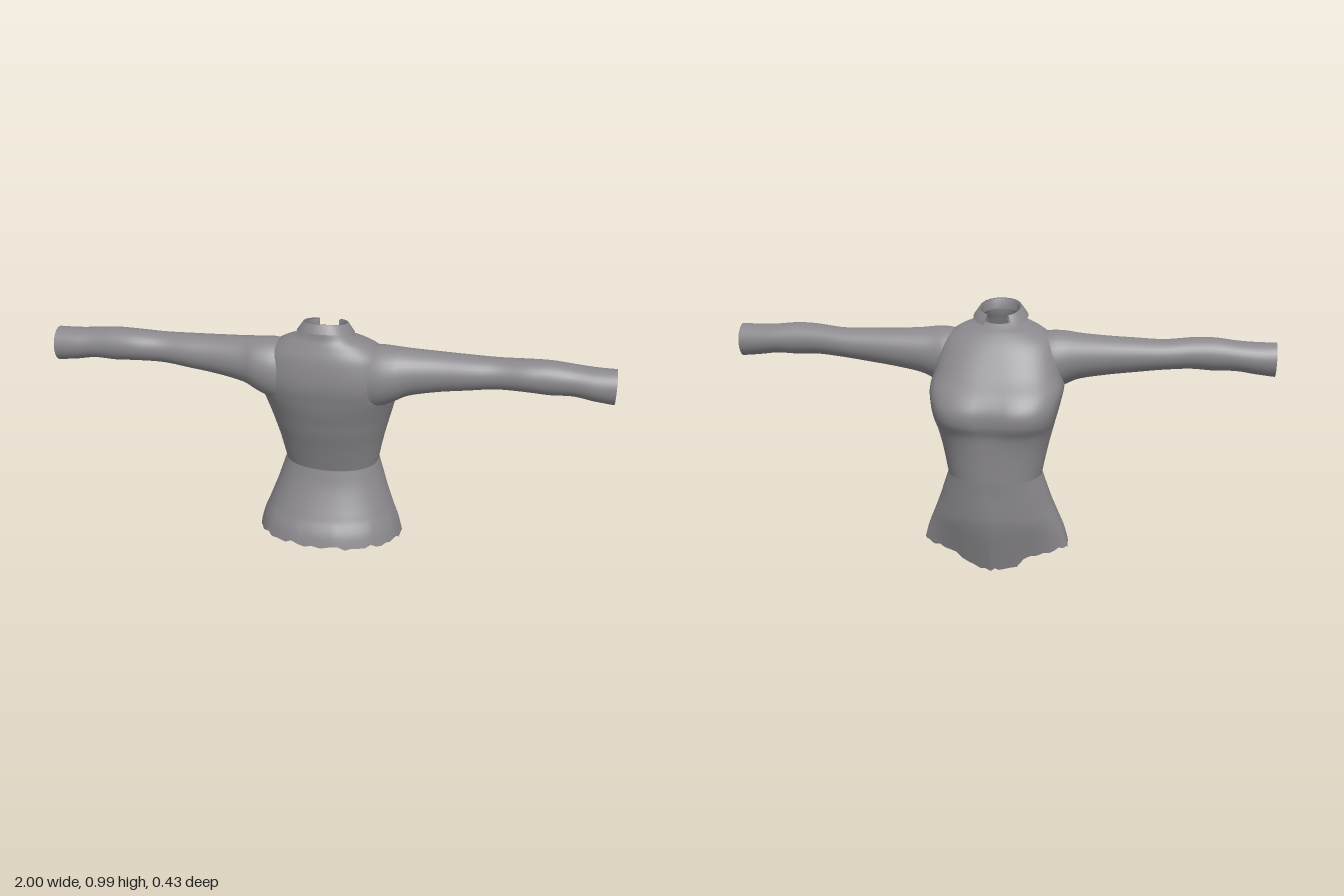
import * as THREE from 'three';

const cloth = new THREE.MeshStandardMaterial({ color: 0x8a888c, side: THREE.DoubleSide });
cloth.name = 'grey cloth';

// Smoothly resample a table of section rows.
function resample(rows, count) {
  const out = [];
  for (let i = 0; i <= count; i++) {
    const f = (i / count) * (rows.length - 1);
    const k = Math.min(Math.floor(f), rows.length - 2), t = f - k;
    const a = rows[Math.max(k - 1, 0)], b = rows[k], c = rows[k + 1], d = rows[Math.min(k + 2, rows.length - 1)];
    out.push(b.map((v, j) => v + 0.5 * t * (c[j] - a[j]
      + t * (2 * a[j] - 5 * v + 4 * c[j] - d[j] + t * (3 * (v - c[j]) + d[j] - a[j])))));
  }
  return out;
}

// Skin a list of rings; skip(x, y, z) leaves an opening.
function loft(name, rings, closed = true, skip = () => false) {
  const n = rings[0].length, pos = rings.flat(), index = [];
  for (let r = 0; r < rings.length - 1; r++) {
    for (let i = 0; i < (closed ? n : n - 1); i++) {
      const j = (i + 1) % n;
      const a = r * n + i, b = r * n + j, c = a + n, d = b + n;
      const mid = [0, 1, 2].map(k => (pos[a][k] + pos[b][k] + pos[c][k] + pos[d][k]) / 4);
      if (!skip(...mid)) index.push(a, c, b, b, c, d);
    }
  }
  const g = new THREE.BufferGeometry();
  g.setAttribute('position', new THREE.Float32BufferAttribute(pos.flat(), 3));
  g.setIndex(index);
  g.computeVertexNormals();
  const mesh = new THREE.Mesh(g, cloth);
  mesh.name = name;
  return mesh;
}

const SIDES = 64;
const power = (v, p) => Math.sign(v) * Math.pow(Math.abs(v), p);

// Body section: height, half width, back z, chest z, widest z, back and chest roundness, tilt.
function bodyRing([y, w, back, front, mid, pBack, pFront, tilt]) {
  const ring = [];
  for (let i = 0; i < SIDES; i++) {
    const a = (i / SIDES) * Math.PI * 2, s = Math.sin(a), c = Math.cos(a);
    const p = s > 0 ? pBack : pFront;
    const x = w * power(c, p);
    let z = mid + (s > 0 ? back - mid : mid - front) * power(s, p);
    // shallow valley at the middle of the chest
    if (s < 0) z += 0.012 * Math.exp(-((x / 0.05) ** 2) - ((y - 0.63) / 0.08) ** 2);
    ring.push([x, y + tilt * s, z]);
  }
  return ring;
}

const bodice = [
  [0.94, 0.075, 0.17, 0.025, 0.10, 1, 1, 0.015],
  [0.92, 0.105, 0.175, 0.005, 0.10, 1, 1, 0.01],
  [0.90, 0.155, 0.185, -0.015, 0.09, 0.95, 0.95, 0.004],
  [0.86, 0.205, 0.20, -0.05, 0.08, 0.85, 0.85, 0],
  [0.80, 0.225, 0.21, -0.095, 0.07, 0.8, 0.75, 0],
  [0.75, 0.235, 0.21, -0.135, 0.06, 0.8, 0.7, 0],
  [0.70, 0.245, 0.20, -0.182, 0.04, 0.85, 0.65, 0],
  [0.65, 0.237, 0.188, -0.212, 0.02, 0.9, 0.62, 0],
  [0.60, 0.225, 0.172, -0.213, 0, 0.9, 0.65, 0],
  [0.55, 0.212, 0.157, -0.192, -0.01, 0.9, 0.75, 0],
  [0.48, 0.195, 0.132, -0.184, -0.02, 0.9, 0.85, 0],
  [0.38, 0.175, 0.10, -0.18, -0.03, 0.9, 0.9, 0],
];
const skirt = [
  [0.38, 0.175, 0.102, -0.18, -0.03, 0.9, 0.9, 0],
  [0.32, 0.195, 0.12, -0.176, -0.03, 0.9, 1, 0],
  [0.26, 0.215, 0.147, -0.174, -0.025, 0.9, 1.1, 0],
  [0.20, 0.238, 0.178, -0.168, -0.02, 0.9, 1.2, 0],
  [0.14, 0.26, 0.205, -0.145, -0.02, 0.9, 1.35, 0],
  [0.08, 0.275, 0.22, -0.118, -0.02, 0.9, 1.45, 0],
];

// Ragged hem: high at the back, with a low tongue at the front.
function hemHeight(x, z, i) {
  const rag = 0.006 * Math.sin(i * 2.3) + 0.004 * Math.sin(i * 5.1);
  if (z > -0.02) return 0.083 + 0.14 * (z + 0.02) + rag;
  const tongue = Math.max(0, 1 - (x / 0.12) ** 2);
  return 0.083 - 0.028 * Math.min(1, (0.275 - Math.abs(x)) / 0.15) - 0.047 * Math.sqrt(tongue) + rag * 0.7;
}

// Sleeve section: x, bottom y, top y, chest-side z, back z.
const sleeve = [
  [0.16, 0.66, 0.888, -0.01, 0.185],
  [0.20, 0.67, 0.893, -0.01, 0.188],
  [0.25, 0.695, 0.891, 0, 0.182],
  [0.30, 0.718, 0.886, 0.005, 0.166],
  [0.40, 0.738, 0.881, 0.01, 0.152],
  [0.50, 0.752, 0.878, 0.015, 0.146],
  [0.60, 0.765, 0.876, 0.02, 0.14],
  [0.70, 0.77, 0.884, 0.03, 0.154],
  [0.78, 0.766, 0.886, 0.033, 0.154],
  [0.86, 0.768, 0.878, 0.033, 0.151],
  [0.93, 0.758, 0.874, 0.036, 0.156],
  [1.00, 0.75, 0.874, 0.04, 0.156],
];
function sleeveRing([x, y0, y1, z0, z1], side) {
  const ring = [];
  for (let i = 0; i < 32; i++) {
    const a = (-side * i / 32) * Math.PI * 2;
    ring.push([side * x, (y0 + y1) / 2 + (y1 - y0) / 2 * Math.sin(a), (z0 + z1) / 2 + (z1 - z0) / 2 * Math.cos(a)]);
  }
  return ring;
}

// Folded collar section, open at the front: half width, back z, front z, back y, front y.
const collar = [
  [0.072, 0.162, 0.03, 0.95, 0.925],
  [0.068, 0.165, 0.03, 0.988, 0.953],
  [0.078, 0.175, 0.02, 0.99, 0.956],
  [0.102, 0.19, 0.01, 0.96, 0.918],
];
function collarRing([w, back, front, yBack, yFront]) {
  const ring = [], gap = 0.45;
  for (let i = 0; i <= 40; i++) {
    const a = -Math.PI / 2 + gap + (i / 40) * (Math.PI * 2 - gap * 2);
    const t = (Math.sin(a) + 1) / 2;
    ring.push([w * power(Math.cos(a), 0.85), yFront + (yBack - yFront) * t, front + (back - front) * t]);
  }
  return ring;
}

export function createModel() {
  const group = new THREE.Group();
  group.name = 'fittedJacket';

  // Bodice with armholes cut through
  const armhole = (x, y, z) => Math.abs(x) > 0.12
    && ((y - 0.81) / 0.068) ** 2 + ((z - 0.09) / 0.068) ** 2 < 1;
  group.add(loft('bodice', resample(bodice, 55).map(bodyRing).map(r => r.reverse()), true, armhole));

  // Flared skirt, its lower part pulled to the hem line
  const skirtRings = resample(skirt, 25).map(bodyRing);
  const hem = skirtRings[skirtRings.length - 1].map(([x, , z], i) => hemHeight(x, z, i));
  for (const ring of skirtRings) {
    ring.forEach((p, i) => {
      if (p[1] < 0.2) p[1] = 0.2 - (0.2 - p[1]) / 0.12 * (0.2 - hem[i]);
    });
    ring.reverse();
  }
  group.add(loft('skirt', skirtRings));

  // Sleeves, open at the cuffs
  for (const side of [1, -1]) {
    const rings = resample(sleeve, 44).map(r => sleeveRing(r, side));
    group.add(loft(side > 0 ? 'leftSleeve' : 'rightSleeve', rings));
  }

  // Collar
  group.add(loft('collar', collar.map(collarRing).map(r => r.reverse()), false));
  return group;
}
